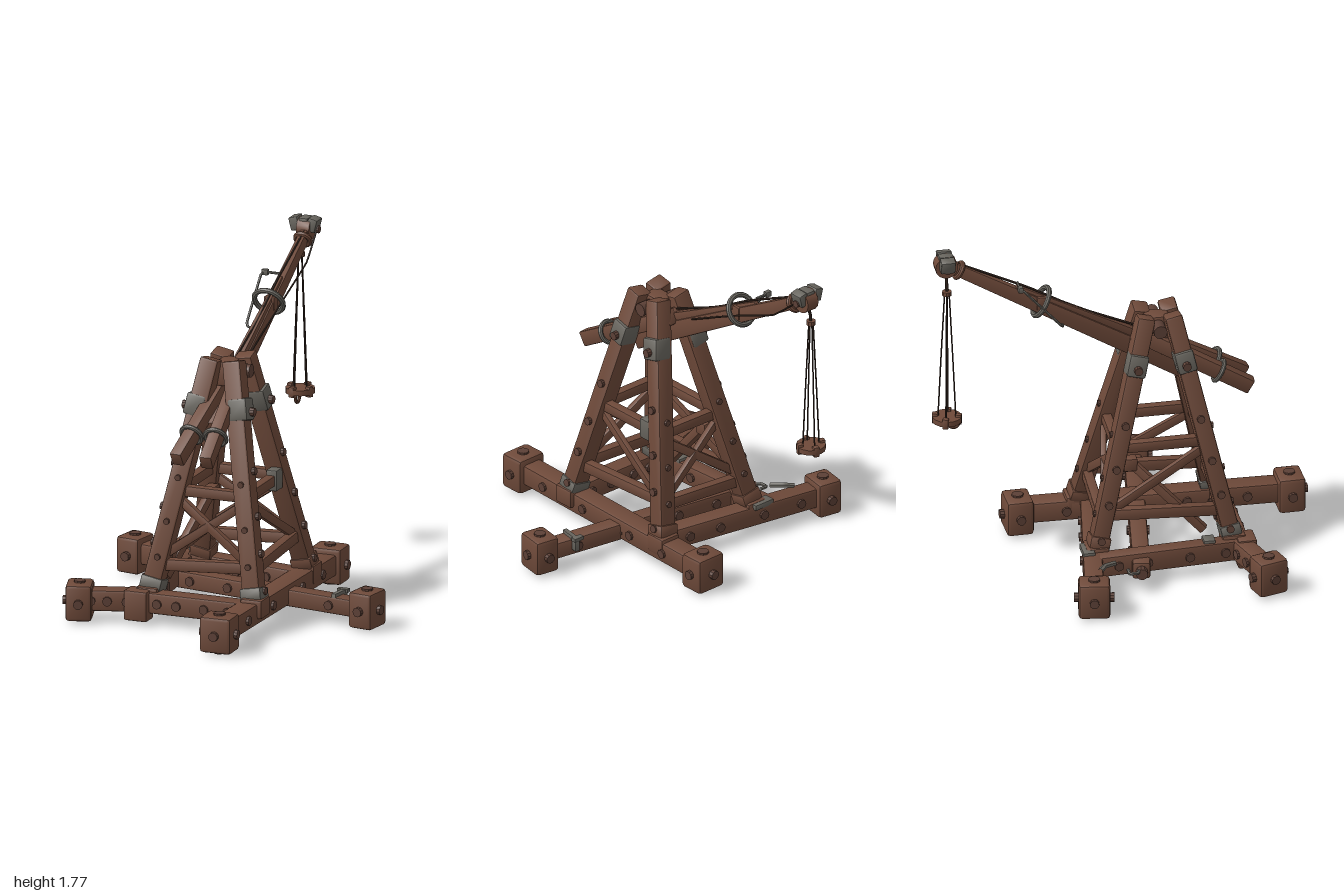
import * as THREE from 'three';
import { toCreasedNormals } from 'three/addons/utils/BufferGeometryUtils.js';
import { RoundedBoxGeometry } from 'three/addons/geometries/RoundedBoxGeometry.js';

const V = (x, y, z) => new THREE.Vector3(x, y, z);
const mat = (name, color) => Object.assign(new THREE.MeshStandardMaterial({ color }), { name });

export function createModel() {
  const root = new THREE.Group();
  root.name = 'timberCrane';
  const wood = mat('wood', 0x6f4a3a), iron = mat('iron', 0x68655e);
  const rope = mat('rope', 0x3a2a22), boltMat = mat('bolt', 0x5c4036);

  const add = (name, geo, material) => {
    const m = new THREE.Mesh(toCreasedNormals(geo, 0.6), material);
    m.name = name;
    root.add(m);
    return m;
  };

  // Chamfered beam from a to b; w across, h along the up hint, taper scales the far end
  function beam(name, a, b, w, h, { material = wood, up = V(0, 1, 0), taper = 1 } = {}) {
    const dir = b.clone().sub(a), len = dir.length();
    dir.normalize();
    const geo = new RoundedBoxGeometry(w, h, len, 1, Math.min(w, h, len) * 0.13);
    const p = geo.attributes.position;
    for (let i = 0; i < p.count; i++) {
      const s = 1 + (taper - 1) * (p.getZ(i) / len + 0.5);
      p.setXY(i, p.getX(i) * s, p.getY(i) * s);
    }
    geo.computeVertexNormals();
    const side = up.clone().cross(dir).normalize();
    const m = add(name, geo, material);
    m.quaternion.setFromRotationMatrix(new THREE.Matrix4().makeBasis(side, dir.clone().cross(side), dir));
    m.position.copy(a).lerp(b, 0.5);
    return m;
  }
  function box(name, c, size, material = wood, ry = 0) {
    const m = add(name, new RoundedBoxGeometry(...size, 1, Math.min(...size) * 0.14), material);
    m.position.copy(c);
    m.rotation.y = ry;
    return m;
  }
  // Round stud or rod centred on c along an axis
  function rod(name, c, axis, r, len, material = boltMat, sides = 10) {
    const m = add(name, new THREE.CylinderGeometry(r, r, len, sides), material);
    m.position.copy(c);
    m.quaternion.setFromUnitVectors(V(0, 1, 0), axis.clone().normalize());
    return m;
  }
  function ring(name, c, axis, R, r, material) {
    const m = add(name, new THREE.TorusGeometry(R, r, 8, 24), material);
    m.position.copy(c);
    m.quaternion.setFromUnitVectors(V(0, 0, 1), axis.clone().normalize());
    return m;
  }
  const tube = (name, pts, r, material) =>
    add(name, new THREE.TubeGeometry(new THREE.CatmullRomCurve3(pts, false, 'catmullrom', 0.15), pts.length * 6, r, 6), material);

  // Ground beams
  const Y = 0.115;
  const ground = [
    ['longBeam', [0.245, -0.5], [0.22, 0.9], 0.115],
    ['backLeftOutrigger', [0.24, -0.12], [-0.74, -0.29], 0.1],
    ['frontLeftOutrigger', [-0.3, 0.51], [-0.66, 0.62], 0.095],
    ['rightOutrigger', [-0.5, 0], [0.73, 0.195], 0.09],
    ['leftSill', [-0.42, -0.26], [-0.36, 0.58], 0.085],
    ['frontSill', [-0.36, 0.53], [0.22, 0.53], 0.095],
  ];
  for (const [name, a, b, w] of ground) {
    const y = name === 'rightOutrigger' ? 0.1 : Y;
    const A = V(a[0], y, a[1]), B = V(b[0], y, b[1]);
    beam(name, A, B, w, name === 'rightOutrigger' ? 0.09 : 0.11);
    const side = B.clone().sub(A).cross(V(0, 1, 0)).normalize();
    for (const t of [0.18, 0.36, 0.62, 0.84]) rod('beamBolt', A.clone().lerp(B, t), side, 0.024, w + 0.025);
  }
  box('sillFoot', V(-0.365, 0.1, 0.56), [0.13, 0.16, 0.1]);
  rod('sillStud', V(-0.51, 0.1, 0), V(1, 0, 0.15), 0.03, 0.06);

  // Weighted end blocks with studs on every face
  const blocks = [[0.24, -0.49, 0.02], [0.22, 0.9, 0.02], [-0.74, -0.29, -0.17], [-0.66, 0.62, 0.3], [0.73, 0.195, -0.15]];
  blocks.forEach(([x, z, ry], i) => {
    const c = V(x, 0.105, z), d = i < 2 ? [0.17, 0.19, 0.14] : [0.135, 0.19, 0.16];
    box('endBlock', c, d, wood, ry);
    const turn = (v) => v.applyAxisAngle(V(0, 1, 0), ry);
    rod('blockStud', c, turn(V(1, 0, 0)), 0.024, d[0] + 0.035);
    rod('blockStud', c, turn(V(0, 0, 1)), 0.024, d[2] + 0.045);
    rod('blockStud', c, V(0, 1, 0), 0.03, 0.21);
  });

  // Four leaning legs with iron collars and shoes
  const legs = {};
  for (const [key, foot, top] of [
    ['FL', V(-0.33, 0.1, 0.51), V(-0.1, 1.33, 0.235)], ['FR', V(0.255, 0.1, 0.51), V(0.02, 1.33, 0.235)],
    ['BL', V(-0.34, 0.1, -0.21), V(-0.1, 1.33, 0.1)], ['BR', V(0.25, 0.1, -0.2), V(0.02, 1.33, 0.1)],
  ]) {
    beam('leg', foot, top, 0.1, 0.09, { up: V(0, 0, 1) });
    const at = (y) => foot.clone().lerp(top, (y - foot.y) / (top.y - foot.y));
    legs[key] = at;
    const sx = key[1] === 'L' ? -1 : 1, sz = key[0] === 'F' ? 1 : -1;
    beam('legCollar', at(1.04).add(V(sx * 0.015, 0, 0)), at(1.15).add(V(sx * 0.015, 0, 0)), 0.105, 0.1, { material: iron, up: V(0, 0, 1) });
    rod('collarBolt', at(1.09).add(V(sx * 0.07, 0, 0)), V(1, 0, 0), 0.022, 0.04);
    beam('legShoe', at(0.17), at(0.23), 0.115, 0.105, { material: key === 'FL' || key === 'FR' ? iron : wood, up: V(0, 0, 1) });
    box('footBlock', at(0.14), [0.12, 0.1, 0.12]);
    for (const y of [0.22, 0.4, 0.58, 0.8]) {
      rod('legBolt', at(y).add(V(sx * 0.05, 0, 0)), V(1, 0.15 * sx, 0), 0.02, 0.035);
      if (y > 0.3) rod('legBolt', at(y - 0.06).add(V(0, 0, sz * 0.045)), V(0, 0, 1), 0.016, 0.025);
    }
  }

  // Rails and crossed braces on each face of the tower
  for (const [a, b, crossed, low] of [['FL', 'FR', true, 0.31], ['BL', 'BR', true, 0.31], ['FL', 'BL', false, 0.32], ['FR', 'BR', false, 0.33]]) {
    const A = legs[a], B = legs[b];
    beam('upperRail', A(0.67), B(0.67), 0.05, 0.055);
    beam('lowerRail', A(low - 0.015), B(low + 0.015), 0.05, 0.06);
    beam('diagonalBrace', A(0.64), B(0.33), 0.03, 0.045);
    if (crossed) beam('diagonalBrace', A(0.33), B(0.64), 0.03, 0.045);
  }
  beam('innerBrace', V(-0.3, 0.2, 0.36), V(-0.2, 0.57, 0), 0.04, 0.045);
  box('braceKnob', V(-0.2, 0.56, 0), [0.06, 0.07, 0.07]);
  box('railClamp', V(0.15, 0.67, 0.02), [0.06, 0.11, 0.085], iron);

  // Pivot at the top of the tower
  box('pivotBlock', V(-0.04, 1.25, 0.165), [0.1, 0.13, 0.13]);
  rod('pivotAxle', V(-0.04, 1.265, 0.165), V(1, 0, 0), 0.035, 0.25, boltMat, 12);

  // Swing arm: main spar, upper spar and two splayed tail handles
  const X = -0.06;
  const armLow = V(X, 0.985, 0.34), armTip = V(X, 1.69, -0.88);
  const armDir = armTip.clone().sub(armLow).normalize();
  beam('mainArm', armLow, armTip, 0.065, 0.105, { taper: 0.6 });
  beam('upperSpar', V(X, 1.225, 0.05), V(X, 1.545, -0.56), 0.045, 0.05, { taper: 0.6 });
  tube('stayRope', [V(X, 1.27, 0.05), V(X, 1.4, -0.25), V(X, 1.54, -0.5), V(X, 1.71, -0.86)], 0.006, rope);
  for (const s of [-1, 1]) {
    const tail = V(-0.045 + s * 0.08, 0.9, 0.635), joint = V(-0.045 + s * 0.025, 1.24, 0.04);
    beam('tailHandle', tail, joint, 0.065, 0.08);
    ring('tailCollar', tail.clone().lerp(joint, 0.27), joint.clone().sub(tail), 0.055, 0.012, iron);
  }
  ring('armHoop', V(-0.07, 1.455, -0.43), armDir, 0.077, 0.014, iron);
  box('hoopMount', V(X, 1.45, -0.43), [0.06, 0.07, 0.05]);
  // Side crank bar
  tube('crankBar', [V(-0.06, 1.57, -0.55), V(-0.14, 1.57, -0.55), V(-0.155, 1.56, -0.53), V(-0.155, 1.36, -0.35), V(-0.14, 1.34, -0.33), V(-0.12, 1.34, -0.33)], 0.007, iron);
  box('crankGrip', V(-0.14, 1.57, -0.55), [0.035, 0.03, 0.025], iron);

  // Pulley head with iron cheeks
  rod('pulleyWheel', V(-0.07, 1.71, -0.92), V(1, 0, 0), 0.058, 0.07, wood, 14);
  rod('pulleyPin', V(-0.07, 1.71, -0.92), V(1, 0, 0), 0.02, 0.14);
  ring('headBand', V(X, 1.67, -0.85), armDir, 0.038, 0.014, wood);
  for (const [x, rz] of [[-0.125, 0.25], [-0.075, 0], [-0.03, -0.25]])
    box('headCheek', V(x, 1.735, -0.92), [0.05, 0.07, 0.075], iron).rotation.z = rz;

  // Hanging tackle: knot, ropes and round platform
  const H = V(-0.105, 0, -0.92);
  tube('hangingRope', [V(-0.08, 1.68, -0.92), V(-0.1, 1.62, -0.92), V(-0.105, 1.55, -0.92)], 0.008, rope);
  rod('ropeCollar', V(H.x, 1.57, H.z), V(0, 1, 0), 0.024, 0.022, wood);
  for (let i = 0; i < 4; i++) {
    const a = i * Math.PI / 2 + 0.3, c = Math.cos(a), s = Math.sin(a);
    tube('tackleRope', [V(H.x + c * 0.012, 1.56, H.z + s * 0.012), V(H.x + c * 0.03, 1.2, H.z + s * 0.03), V(H.x + c * 0.045, 0.87, H.z + s * 0.045)], 0.004, rope);
    box('platformLug', V(H.x + c * 0.06, 0.86, H.z + s * 0.06), [0.03, 0.055, 0.03], wood, -a);
  }
  rod('platform', V(H.x, 0.86, H.z), V(0, 1, 0), 0.075, 0.028, wood, 14);
  ring('platformLoop', V(H.x, 0.83, -0.885), V(1, 0, 0), 0.026, 0.009, wood);
  tube('slackRope', [V(-0.01, 1.7, -0.9), V(0, 1.58, -0.75), V(-0.01, 1.45, -0.45), V(-0.03, 1.28, -0.1)], 0.005, rope);

  // Iron fittings on the ground beams
  box('beamClamp', V(0.56, 0.125, 0.15), [0.025, 0.075, 0.12], iron, -0.15);
  box('clampHead', V(0.56, 0.155, 0.1), [0.06, 0.02, 0.03], iron);
  tube('beamHook', [V(-0.6, 0.175, -0.23), V(-0.56, 0.18, -0.2), V(-0.52, 0.17, -0.14)], 0.014, iron);
  tube('sillCrank', [V(-0.51, 0.12, -0.07), V(-0.555, 0.12, -0.07), V(-0.555, 0.12, -0.03), V(-0.53, 0.12, -0.02)], 0.009, iron);
  box('cornerPlate', V(-0.36, 0.17, -0.25), [0.12, 0.03, 0.06], iron);
  box('cornerPlate', V(0.25, 0.17, -0.49), [0.12, 0.03, 0.05], iron);
  box('cornerPlate', V(-0.37, 0.17, 0.37), [0.07, 0.03, 0.06], iron);
  return root;
}
